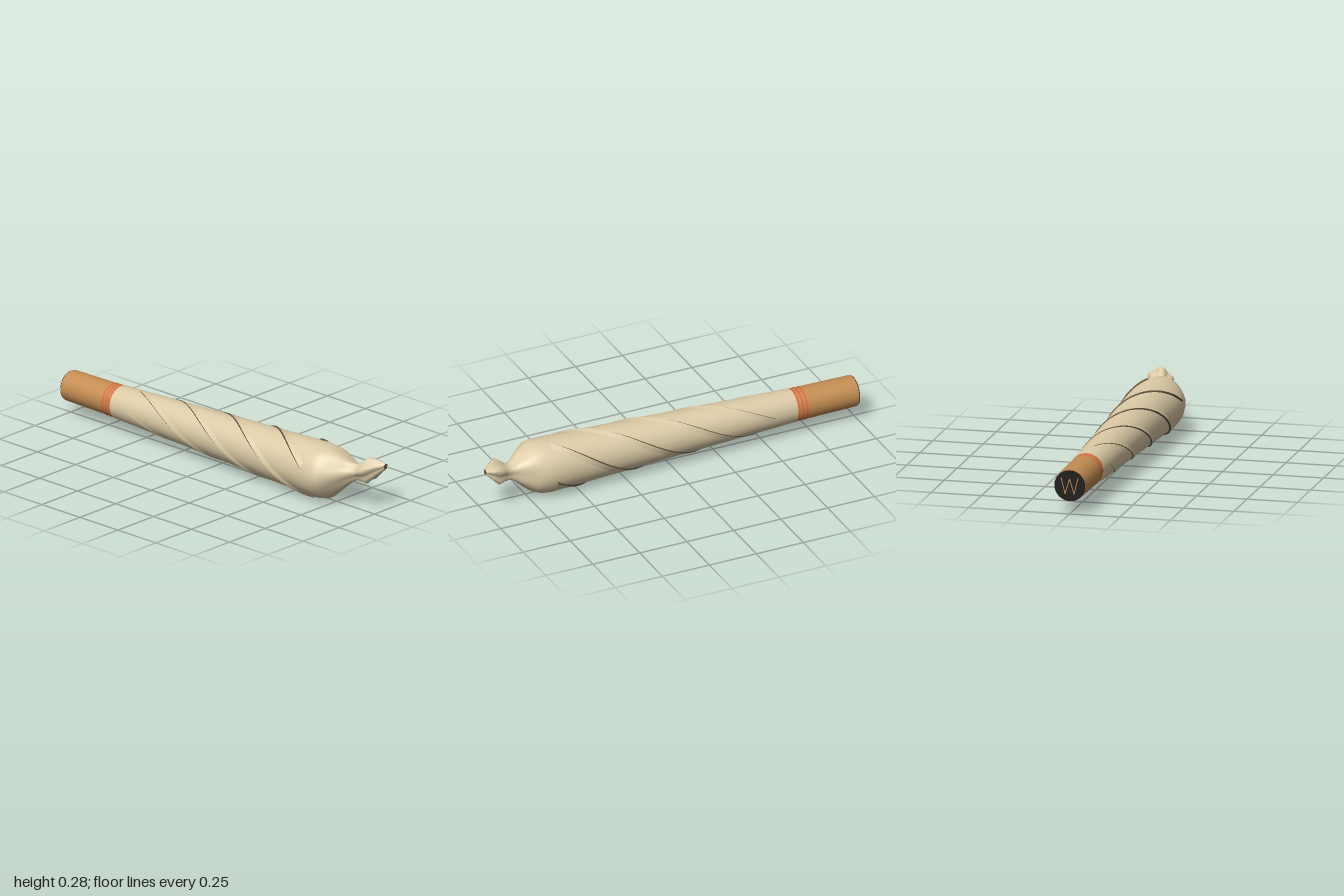
import * as THREE from 'three';

const material = (name, color, side = THREE.FrontSide) => {
  const m = new THREE.MeshStandardMaterial({ color, side });
  m.name = name;
  return m;
};

const CY = 0.143; // height of the long axis
const bodyRadius = (x) => 0.083 + (x + 0.667) * 0.0408;

// Point at angle a around the axis (0 is up, turning towards the front)
const around = (x, a, r, cy = CY, cz = 0) => [x, cy + r * Math.cos(a), cz + r * Math.sin(a)];

// Surface through rows of points of equal length
function surface(rows, closed) {
  const n = rows[0].length, index = [];
  for (let i = 0; i < rows.length - 1; i++) {
    for (let j = 0; j < (closed ? n : n - 1); j++) {
      const k = (j + 1) % n;
      const a = i * n + j, b = i * n + k, c = a + n, d = b + n;
      index.push(a, b, c, b, d, c);
    }
  }
  const g = new THREE.BufferGeometry();
  g.setAttribute('position', new THREE.Float32BufferAttribute(rows.flat(2), 3));
  g.setIndex(index);
  g.computeVertexNormals();
  return g;
}

export function createModel() {
  const group = new THREE.Group();
  const paper = material('paper', 0xdccba6);
  const flapPaper = material('flap paper', 0xdccba6, THREE.DoubleSide);
  flapPaper.copy(paper);
  flapPaper.side = THREE.DoubleSide;
  const card = material('filter card', 0xc48d52);
  const red = material('stripe orange', 0xdc6a3c);
  const dark = material('dark end', 0x1c1a18);
  const seamDark = material('seam shadow', 0x62543e, THREE.DoubleSide);

  const add = (name, geometry, mat) => {
    const mesh = new THREE.Mesh(geometry, mat);
    mesh.name = name;
    group.add(mesh);
    return mesh;
  };
  const alongX = (name, r0, r1, x0, x1, mat, open = false) => {
    const g = new THREE.CylinderGeometry(r1, r0, x1 - x0, 32, 1, open);
    g.rotateZ(-Math.PI / 2);
    add(name, g, mat).position.set((x0 + x1) / 2, CY, 0);
  };

  // Rolled filter with stripes and a dark mouth
  alongX('filter', 0.077, 0.081, -0.994, -0.66, card);
  alongX('filterMouth', 0.075, 0.077, -0.998, -0.993, dark);
  [-0.715, -0.693, -0.672].forEach((x) =>
    alongX('stripe', 0.0822, 0.0824, x - 0.006, x + 0.006, red, true));

  // Folded card showing in the mouth
  const fold = [[-0.042, 0.04], [-0.022, -0.04], [0, 0.035], [0.022, -0.04], [0.042, 0.04]];
  for (let i = 0; i < 4; i++) {
    const [z0, y0] = fold[i], [z1, y1] = fold[i + 1];
    const strip = add('filterFold',
      new THREE.BoxGeometry(0.004, 0.004, Math.hypot(z1 - z0, y1 - y0)), card);
    strip.position.set(-0.998, CY + (y0 + y1) / 2, (z0 + z1) / 2);
    strip.rotation.x = -Math.atan2(y1 - y0, z1 - z0);
  }

  // Paper body with twisted end: x, radius, centre y, centre z, pleat depth
  const sections = [
    [-0.667, 0.083, CY, 0, 0], [-0.3, 0.098, CY, 0, 0], [0, 0.11, CY, 0, 0],
    [0.3, 0.1225, CY, 0, 0], [0.55, 0.1327, CY, 0, 0], [0.64, 0.1365, CY, 0, 0],
    [0.69, 0.1335, 0.144, 0.002, 0], [0.73, 0.124, 0.148, 0.003, 0.02],
    [0.77, 0.098, 0.156, -0.006, 0.04], [0.81, 0.068, 0.164, -0.016, 0.06],
    [0.84, 0.047, 0.171, -0.027, 0.08], [0.865, 0.039, 0.177, -0.036, 0.08],
    [0.89, 0.046, 0.186, -0.041, 0.1], [0.93, 0.061, 0.2, -0.047, 0.12],
    [0.965, 0.037, 0.215, -0.063, 0.14], [1, 0.013, 0.228, -0.078, 0.15],
  ];
  const SIDES = 40;
  const rings = sections.map(([x, r, cy, cz, pleat]) =>
    Array.from({ length: SIDES }, (_, j) => {
      const a = (j / SIDES) * Math.PI * 2;
      return around(x, a, r * (1 + pleat * Math.cos(5 * a + x * 6)), cy, cz);
    }));
  add('paperBody', surface(rings, true), paper);

  // Close the tip and the start of the paper
  const [tx, , ty, tz] = sections[sections.length - 1];
  const tipRing = rings[rings.length - 1];
  add('tipEnd', surface([tipRing, tipRing.map(() => [tx, ty, tz])], true), seamDark);
  const rim = rings[0];
  add('paperRim', surface([rim.map(([x, y, z]) => [x, CY + (y - CY) * 0.95, z * 0.95]), rim], true), paper);

  // Four spiral wraps: a lifted paper ramp and its shaded edge
  const STEPS = 72, X0 = -0.54, X1 = 0.64;
  for (let s = 0; s < 4; s++) {
    const ramp = [], edge = [];
    for (let i = 0; i <= STEPS; i++) {
      const t = i / STEPS, x = X0 + (X1 - X0) * t;
      const a = THREE.MathUtils.degToRad(74 + s * 90 + (x - X1) * 290);
      const r = bodyRadius(x), lift = 0.0015 + 0.006 * t;
      const crest = around(x, a, r + lift);
      ramp.push([around(x, a - 0.25, r - 0.001), around(x, a - 0.12, r + lift * 0.55), crest]);
      edge.push([crest, around(x, a + (0.003 + 0.006 * t) / r, r - 0.001)]);
    }
    add('wrapFlap', surface(ramp, false), flapPaper);
    add('wrapSeam', surface(edge, false), seamDark);
  }
  return group;
}
